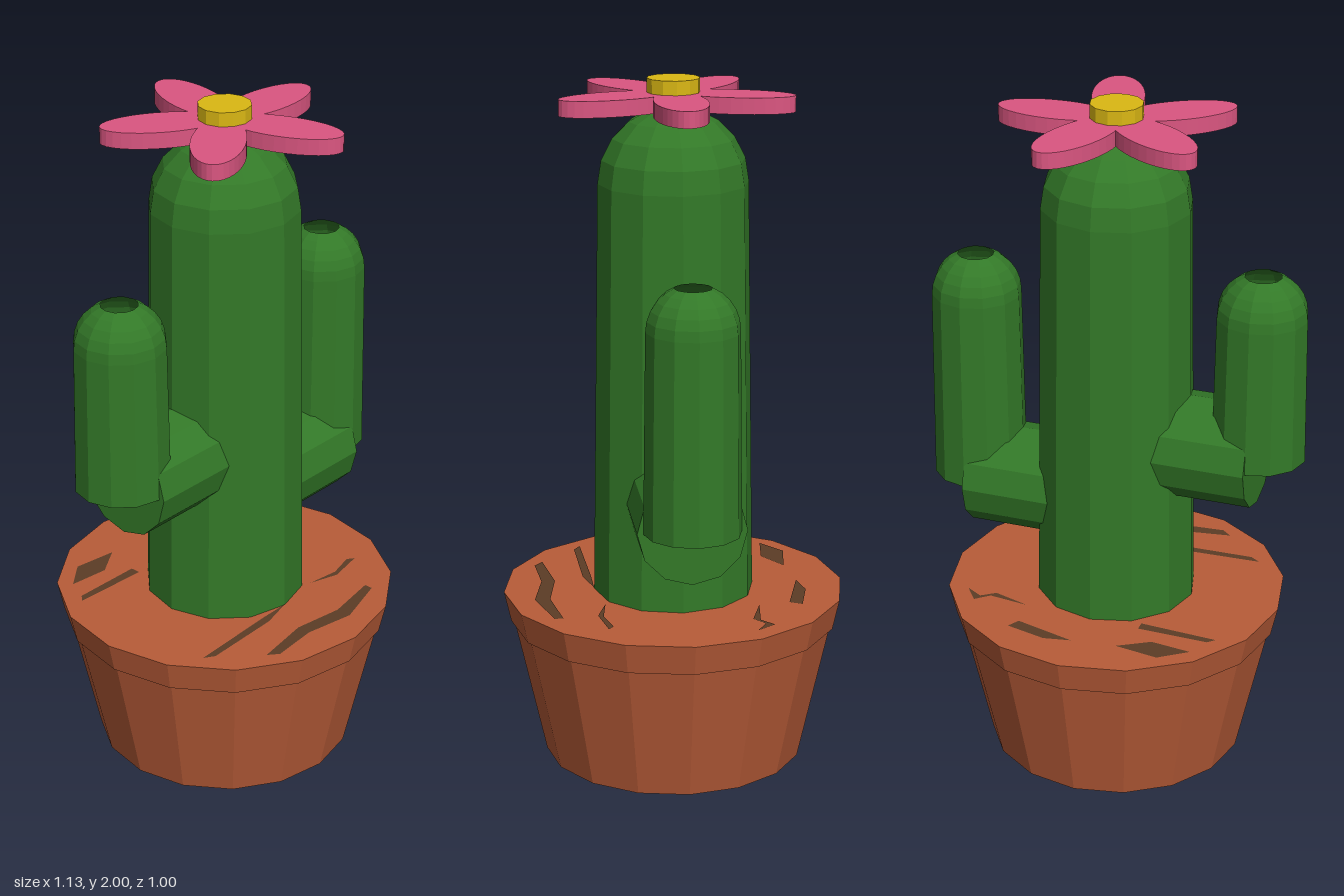
import * as THREE from 'three';

const material = (name, color, side = THREE.FrontSide) => {
  const m = new THREE.MeshStandardMaterial({ color, side });
  m.name = name;
  return m;
};

// Give a geometry hard, flat facets
function faceted(geometry) {
  const g = geometry.index ? geometry.toNonIndexed() : geometry;
  g.computeVertexNormals();
  return g;
}

const lathe = (profile, sides) =>
  faceted(new THREE.LatheGeometry(profile.map(([r, y]) => new THREE.Vector2(r, y)), sides));

// Tapered column with a round top; tipRadius > 0 leaves an opening at the tip
function column(bottom, top, baseRadius, radius, tipRadius, sides) {
  const end = Math.acos(tipRadius / radius);
  const shoulder = top - radius * Math.sin(end);
  const profile = [[0, bottom], [baseRadius, bottom]];
  const steps = 5;
  for (let i = 0; i <= steps; i++) {
    const a = (end * i) / steps;
    profile.push([radius * Math.cos(a), shoulder + radius * Math.sin(a)]);
  }
  return lathe(profile, sides);
}

export function createModel() {
  const model = new THREE.Group();
  model.name = 'pottedCactus';

  const clay = material('clay', 0xb85c38);
  const soil = material('soil', 0x5c3d26, THREE.DoubleSide);
  const green = material('cactusGreen', 0x337928, THREE.DoubleSide);
  const pink = material('petalPink', 0xdb5681);
  const yellow = material('flowerYellow', 0xdbb814);

  const add = (parent, name, geometry, mat) => {
    const mesh = new THREE.Mesh(geometry, mat);
    mesh.name = name;
    parent.add(mesh);
    return mesh;
  };

  // Pot: tapered body with a slightly wider rim
  add(model, 'potBody', lathe([[0, 0], [0.38, 0], [0.473, 0.42]], 16), clay);
  add(model, 'potRim', lathe([[0.44, 0.41], [0.48, 0.41], [0.5, 0.5], [0, 0.5]], 16), clay);

  // Soil patches, each an outline in x, z
  const patches = [
    [[-0.33, -0.31], [-0.25, -0.37], [-0.12, -0.35], [-0.21, -0.295]],
    [[0.01, -0.365], [0.09, -0.38], [0.21, -0.35], [0.19, -0.315]],
    [[-0.38, -0.225], [-0.36, -0.245], [-0.15, -0.24], [-0.15, -0.21]],
    [[0.2, -0.225], [0.32, -0.21], [0.36, -0.245], [0.4, -0.19], [0.35, -0.22], [0.31, -0.19]],
    [[-0.37, 0.245], [-0.34, 0.265], [-0.1, 0.26], [0, 0.235], [-0.1, 0.235]],
    [[0.14, 0.215], [0.24, 0.23], [0.32, 0.21], [0.34, 0.225], [0.23, 0.245]],
    [[-0.24, 0.37], [-0.07, 0.345], [0.08, 0.37], [0.24, 0.345],
      [0.24, 0.37], [0.08, 0.415], [-0.07, 0.385], [-0.21, 0.395]],
  ];
  for (const outline of patches) {
    const shape = new THREE.Shape(outline.map(([x, z]) => new THREE.Vector2(x, -z)));
    const g = new THREE.ShapeGeometry(shape).rotateX(-Math.PI / 2).translate(0, 0.502, 0);
    add(model, 'soilPatch', g, soil);
  }

  // Trunk
  add(model, 'trunk', column(0.48, 1.92, 0.235, 0.215, 0, 12), green);

  // Arms: a level branch carrying an upright with an open tip
  for (const [name, side, elbow, top] of [['leftArm', 1, 0.81, 1.5], ['rightArm', -1, 1.0, 1.55]]) {
    const arm = new THREE.Group();
    arm.name = name;
    const branch = faceted(new THREE.CylinderGeometry(0.154, 0.154, 0.427, 12));
    branch.rotateZ(Math.PI / 2).translate(side * 0.2135, elbow, 0);
    add(arm, 'armBranch', branch, green);
    add(arm, 'armUpright', column(elbow, top, 0.137, 0.13, 0.052, 12), green)
      .position.x = side * 0.427;
    model.add(arm);
  }

  // Flower: five oval petals around a round centre
  const flower = new THREE.Group();
  flower.name = 'flower';
  const oval = new THREE.Shape();
  oval.absellipse(0.175, 0, 0.17, 0.075, 0, Math.PI * 2);
  const petal = new THREE.ExtrudeGeometry(oval, { depth: 0.046, bevelEnabled: false, curveSegments: 16 });
  petal.rotateX(-Math.PI / 2).translate(0, 1.914, 0);
  for (let i = 0; i < 5; i++) {
    add(flower, 'petal', petal, pink).rotation.y = (i * Math.PI * 2) / 5;
  }
  add(flower, 'flowerCentre', faceted(new THREE.CylinderGeometry(0.075, 0.075, 0.08, 12)), yellow)
    .position.y = 1.96;
  model.add(flower);

  return model;
}
